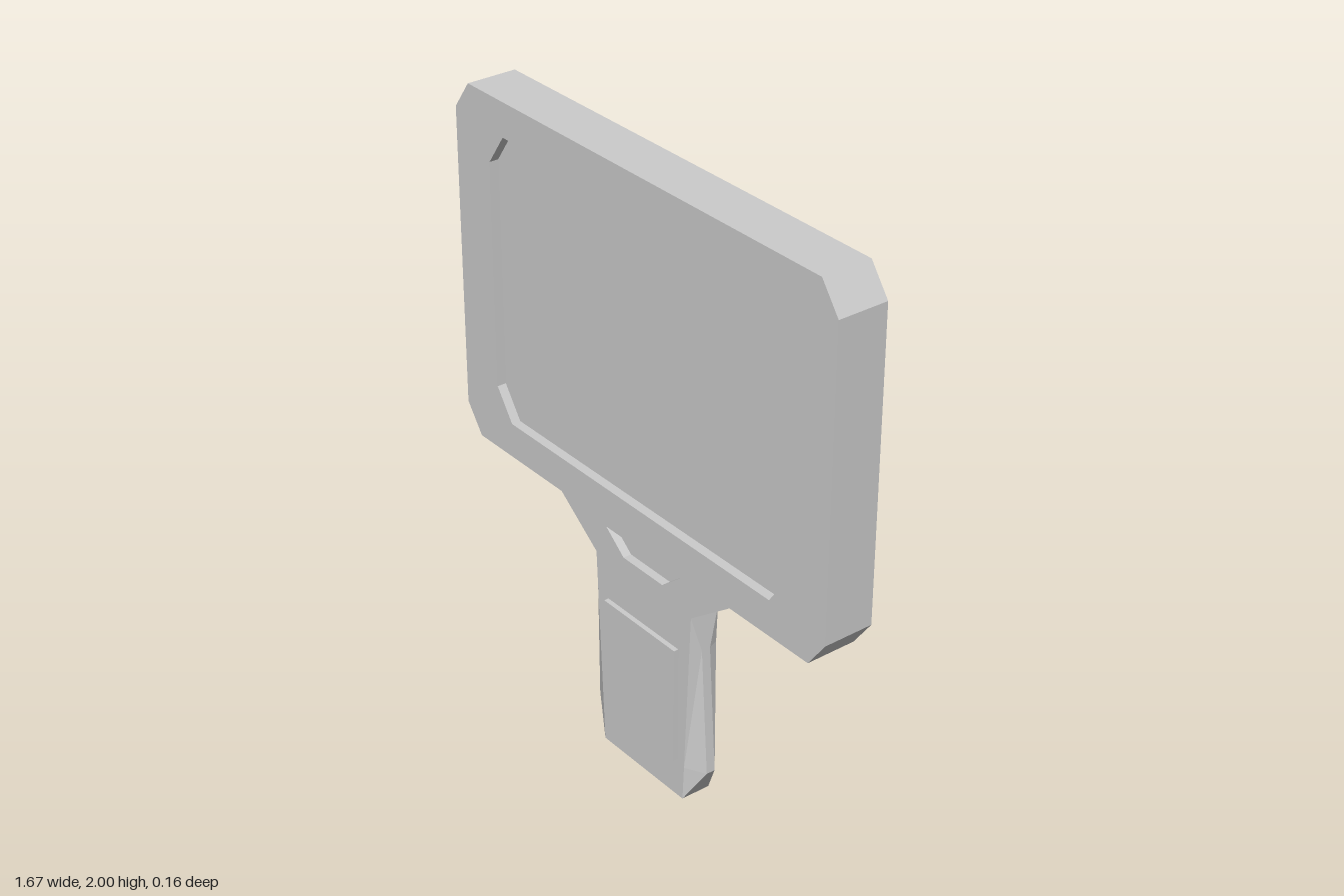
import * as THREE from 'three';

const material = new THREE.MeshStandardMaterial({ color: 0xcccccc, flatShading: true });

// Rectangle with clipped corners, as a list of points
function clippedRect(w, y0, y1, cx, cy) {
  return [
    [w - cx, y0], [w, y0 + cy], [w, y1 - cy], [w - cx, y1],
    [cx - w, y1], [-w, y1 - cy], [-w, y0 + cy], [cx - w, y0],
  ].map(([x, y]) => new THREE.Vector2(x, y));
}

// Flat slab centred on z = 0, with an optional opening
function slab(name, points, halfDepth, hole) {
  const shape = new THREE.Shape(points);
  if (hole) shape.holes.push(new THREE.Path(hole));
  const geometry = new THREE.ExtrudeGeometry(shape, { depth: halfDepth * 2, bevelEnabled: false });
  geometry.translate(0, 0, -halfDepth);
  const mesh = new THREE.Mesh(geometry, material);
  mesh.name = name;
  return mesh;
}

// Symmetric trapezoid
function trapezoid(topW, topY, bottomW, bottomY) {
  return [[-bottomW, bottomY], [bottomW, bottomY], [topW, topY], [-topW, topY]]
    .map(([x, y]) => new THREE.Vector2(x, y));
}

// Handle with faceted sides, lofted through eight-point sections
function gripGeometry(depth) {
  // [height, face half width, ridge half width, ridge half depth]
  const levels = [
    [0, 0.192, 0.192, depth],
    [0.12, 0.198, 0.263, 0.015],
    [0.55, 0.219, 0.234, 0.015],
    [0.675, 0.225, 0.225, depth],
  ];
  const rings = levels.map(([y, f, r, d]) => [
    [f, y, depth], [r, y, d], [r, y, -d], [f, y, -depth],
    [-f, y, -depth], [-r, y, -d], [-r, y, d], [-f, y, depth],
  ].map((p) => new THREE.Vector3(...p)));
  const points = [];
  const triangle = (a, b, c) => {
    if (new THREE.Triangle(a, b, c).getArea() > 1e-7) points.push(a, b, c);
  };
  for (let k = 0; k < rings.length - 1; k++) {
    const lo = rings[k], up = rings[k + 1];
    for (let i = 0; i < 8; i++) {
      const j = (i + 1) % 8;
      triangle(lo[i], lo[j], up[j]);
      triangle(lo[i], up[j], up[i]);
    }
  }
  // End caps
  const bottom = rings[0], top = rings[rings.length - 1];
  for (let i = 1; i < 7; i++) {
    triangle(bottom[0], bottom[i + 1], bottom[i]);
    triangle(top[0], top[i], top[i + 1]);
  }
  const geometry = new THREE.BufferGeometry().setFromPoints(points);
  geometry.computeVertexNormals();
  return geometry;
}

export function createModel() {
  const model = new THREE.Group();
  model.name = 'handheldPanel';
  const handleDepth = 0.05;

  // Thick frame with a recessed panel on both faces
  const opening = clippedRect(0.67, 0.952, 1.89, 0.07, 0.1);
  model.add(slab('frame', clippedRect(0.833, 0.836, 2, 0.067, 0.092), 0.082, opening));
  model.add(slab('panel', opening, 0.052));

  // Flared neck with a shallow slot on both faces
  const slot = trapezoid(0.175, 0.787, 0.092, 0.72);
  model.add(slab('neck', trapezoid(0.442, 0.836, 0.225, 0.675), handleDepth, slot));
  model.add(slab('slotFloor', slot, 0.022));

  // Faceted grip
  const grip = new THREE.Mesh(gripGeometry(handleDepth), material);
  grip.name = 'grip';
  model.add(grip);

  // Raised pad on each face of the grip
  for (const [name, side] of [['frontPad', 1], ['backPad', -1]]) {
    const pad = new THREE.Mesh(new THREE.BoxGeometry(0.336, 0.398, 0.036), material);
    pad.position.set(0, 0.336, side * 0.048);
    pad.name = name;
    model.add(pad);
  }

  return model;
}
